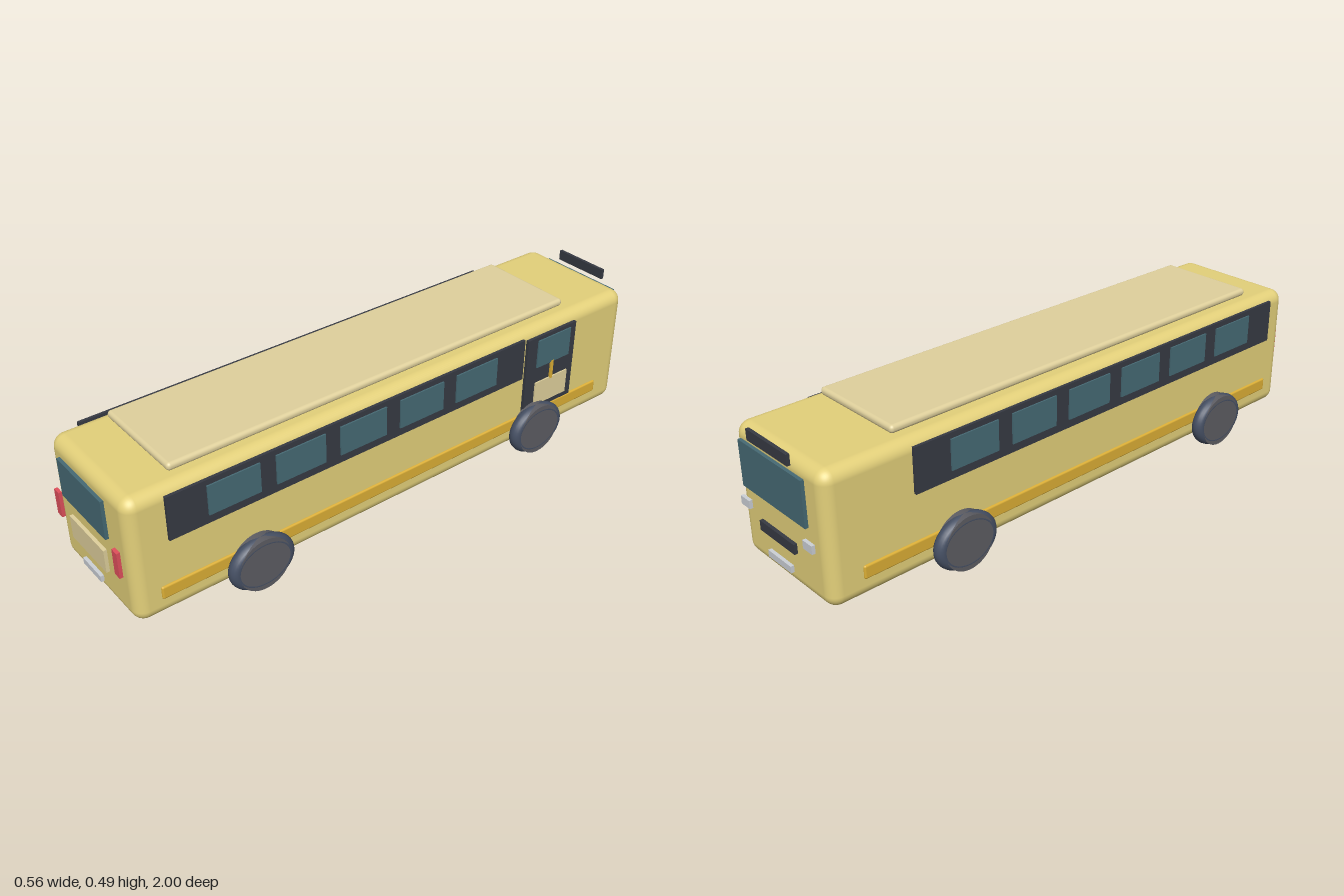
import * as THREE from 'three';
import { RoundedBoxGeometry } from 'three/addons/geometries/RoundedBoxGeometry.js';

const mat = (color) => new THREE.MeshStandardMaterial({ color });
const paint = mat(0xe3d07a), cream = mat(0xdfd09c), amber = mat(0xdbae35), glass = mat(0x466a74),
  trim = mat(0x373a43), tyre = mat(0x465064), rim = mat(0x5c5c62), red = mat(0xe0505c), silver = mat(0xccd0d6);

export function createModel() {
  const bus = new THREE.Group();
  bus.name = 'bus';

  // box given by its limits on each axis, with optional rounded edges
  function box(name, material, [x0, x1], [y0, y1], [z0, z1], radius = 0) {
    const size = [x1 - x0, y1 - y0, z1 - z0];
    const geometry = radius ? new RoundedBoxGeometry(...size, 5, radius) : new THREE.BoxGeometry(...size);
    const mesh = new THREE.Mesh(geometry, material);
    mesh.name = name;
    mesh.position.set((x0 + x1) / 2, (y0 + y1) / 2, (z0 + z1) / 2);
    bus.add(mesh);
    return mesh;
  }
  // upright panel on a side wall; side is +1 or -1
  const sidePanel = (name, material, side, inner, outer, y, z) =>
    box(name, material, side > 0 ? [inner, outer] : [-outer, -inner], y, z);

  // body and roof pod
  box('body', paint, [-0.22, 0.22], [0.025, 0.455], [-0.975, 0.975], 0.04);
  box('roofPod', cream, [-0.172, 0.172], [0.461, 0.487], [-0.715, 0.81], 0.012);

  // side window bands: five windows beside the door, six on the other side
  for (const [side, z0, z1, count] of [[1, -0.48, 0.86, 5], [-1, -0.69, 0.875, 6]]) {
    sidePanel('windowBand', trim, side, 0.228, 0.238, [0.293, 0.44], [z0, z1]);
    const pitch = 0.2285, middle = (z0 + z1) / 2;
    for (let i = 0; i < count; i++) {
      const z = middle + (i - (count - 1) / 2) * pitch;
      sidePanel('sideWindow', glass, side, 0.234, 0.243, [0.322, 0.422], [z - 0.087, z + 0.087]);
    }
    // rub strip
    const strip = side > 0 ? [0.205, 0.226] : [-0.226, -0.205];
    box('sideStrip', amber, strip, [0.089, 0.133], [-0.868, 0.895], 0.006);
  }

  // passenger door
  sidePanel('doorFrame', trim, 1, 0.228, 0.239, [0.146, 0.43], [-0.718, -0.495]);
  sidePanel('doorWindow', glass, 1, 0.235, 0.244, [0.315, 0.417], [-0.69, -0.54]);
  sidePanel('doorPanel', cream, 1, 0.235, 0.244, [0.167, 0.255], [-0.69, -0.54]);
  sidePanel('doorHandle', amber, 1, 0.235, 0.245, [0.25, 0.32], [-0.618, -0.606]);

  // tail end
  const tail = [0.986, 0.997];
  box('rearWindow', glass, [-0.128, 0.128], [0.295, 0.425], tail);
  box('engineCover', cream, [-0.101, 0.101], [0.16, 0.238], tail);
  box('rearPlate', silver, [-0.053, 0.053], [0.092, 0.113], tail);
  for (const s of [-1, 1]) box('tailLight', red, [s * 0.172 - 0.014, s * 0.172 + 0.014], [0.196, 0.284], tail);

  // driving end
  const nose = [-0.998, -0.987];
  box('windscreen', glass, [-0.157, 0.157], [0.278, 0.425], nose);
  box('destinationBoard', trim, [-0.101, 0.101], [0.445, 0.48], [-1, -0.989]);
  box('grille', trim, [-0.087, 0.087], [0.163, 0.195], nose);
  box('frontPlate', silver, [-0.058, 0.058], [0.088, 0.11], nose);
  for (const s of [-1, 1]) box('headlight', silver, [s * 0.158 - 0.022, s * 0.158 + 0.022], [0.208, 0.235], nose);

  // wheels: a flattened tyre ring round a drum
  const ring = new THREE.TorusGeometry(0.09, 0.0225, 16, 48).rotateY(Math.PI / 2).scale(1, 0.8, 1);
  const drum = new THREE.CylinderGeometry(0.09, 0.09, 0.044, 40).rotateZ(Math.PI / 2);
  for (const x of [-0.258, 0.258]) {
    for (const z of [-0.54, 0.585]) {
      const wheel = new THREE.Group();
      wheel.name = 'wheel';
      const tyreMesh = new THREE.Mesh(ring, tyre), drumMesh = new THREE.Mesh(drum, rim);
      tyreMesh.name = 'tyre';
      drumMesh.name = 'wheelDrum';
      wheel.add(tyreMesh, drumMesh);
      wheel.position.set(x, 0.09, z);
      bus.add(wheel);
    }
  }
  return bus;
}
